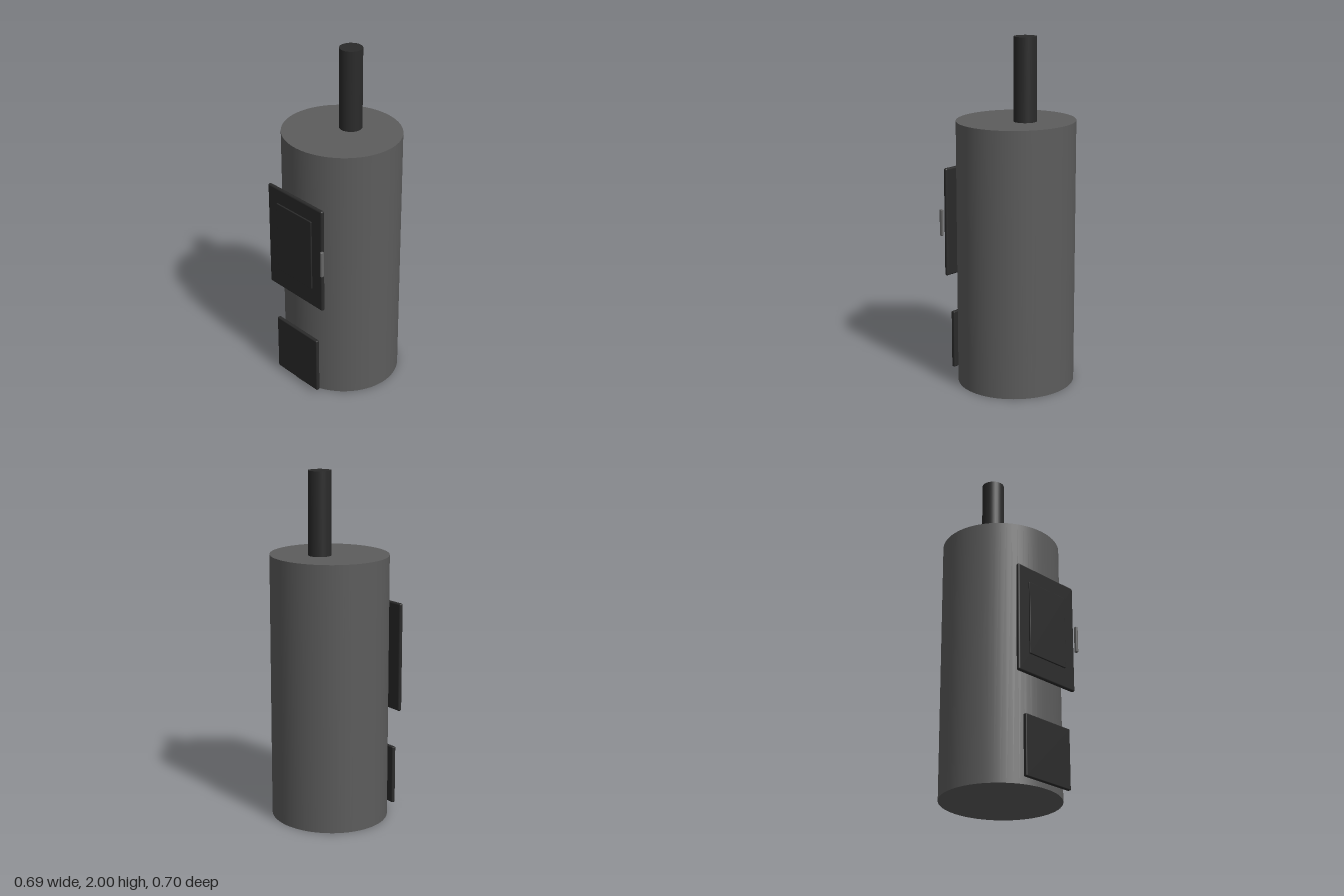
import * as THREE from 'three';
import { RoundedBoxGeometry } from 'three/addons/geometries/RoundedBoxGeometry.js';

export function createModel() {
  const model = new THREE.Group();
  model.name = 'stove';

  const material = (name, color) => new THREE.MeshStandardMaterial({ name, color });
  const steel = material('grey steel', 0x5c5c5c);
  const iron = material('black iron', 0x2a2a2a);
  const metal = material('handle metal', 0x666666);

  const add = (name, geometry, mat, x, y, z) => {
    const mesh = new THREE.Mesh(geometry, mat);
    mesh.name = name;
    mesh.position.set(x, y, z);
    model.add(mesh);
    return mesh;
  };

  // Plate given by its centre x, width and its y and z ranges
  const plate = (name, mat, x, width, y0, y1, z0, z1, radius) =>
    add(name, new RoundedBoxGeometry(width, y1 - y0, z1 - z0, 3, radius), mat,
      x, (y0 + y1) / 2, (z0 + z1) / 2);

  // Slightly oval drum standing on the ground
  const drum = new THREE.CylinderGeometry(1, 1, 1.53, 64).scale(0.344, 1, 0.331);
  add('body', drum, steel, 0, 0.765, -0.022);

  // Flue pipe, set towards the back
  add('fluePipe', new THREE.CylinderGeometry(0.065, 0.065, 0.47, 32), iron, 0, 1.765, -0.088);

  // Fire door with window and side handle
  plate('door', iron, 0, 0.447, 0.604, 1.24, 0.309, 0.332, 0.01);
  plate('doorWindow', iron, 0, 0.287, 0.72, 1.148, 0.324, 0.34, 0.003);
  plate('doorHandle', metal, 0.234, 0.016, 0.843, 1.0, 0.33, 0.35, 0.005);

  // Ash drawer below the door
  plate('ashDrawer', iron, 0, 0.344, 0.027, 0.372, 0.309, 0.332, 0.006);

  return model;
}
